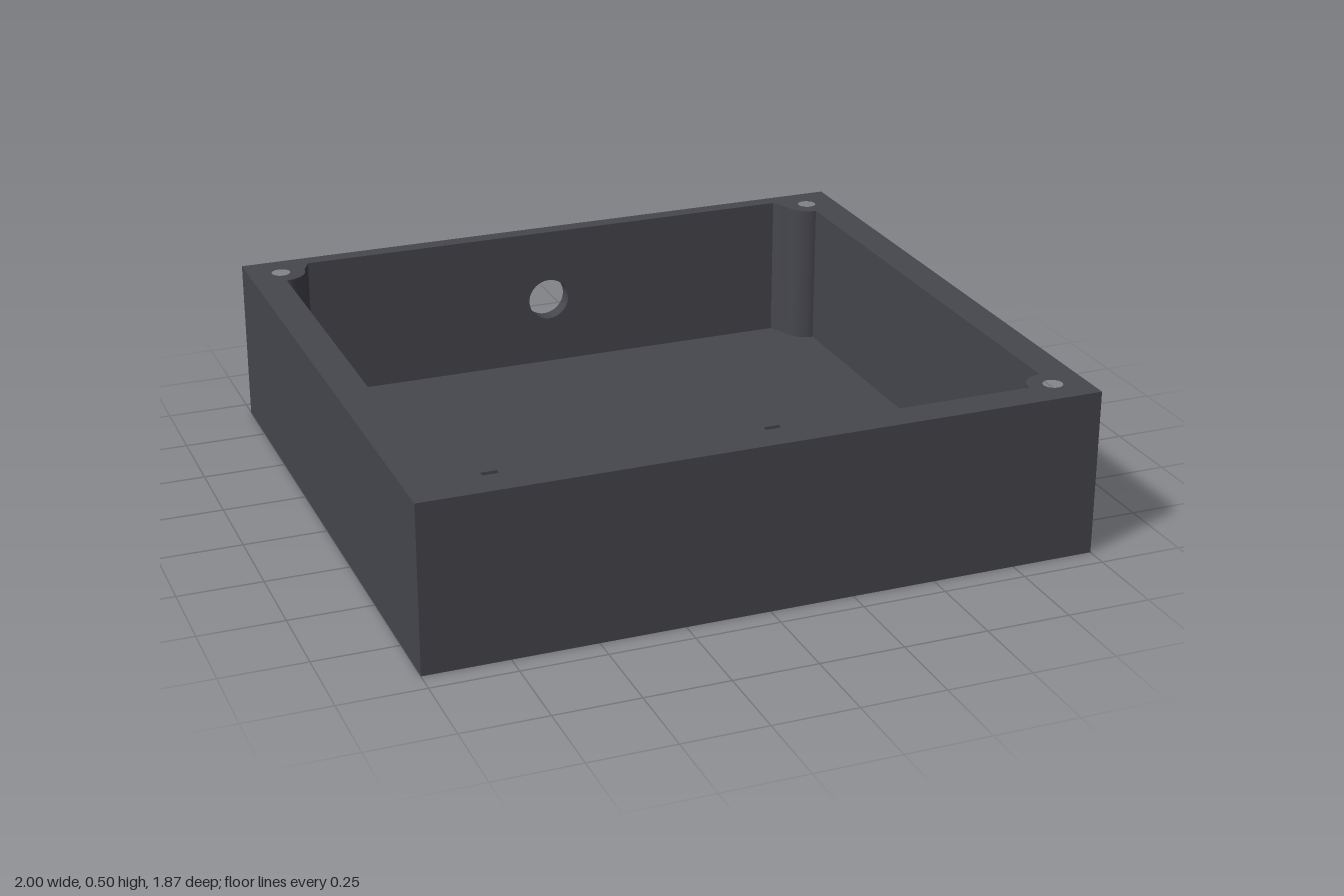
import * as THREE from 'three';
import { toCreasedNormals } from 'three/addons/utils/BufferGeometryUtils.js';

const W = 1, D = 0.933;           // half width and half depth
const T = 0.05, H = 0.5;          // wall thickness and height
const BOSS_X = 0.9, BOSS_Z = 0.833, BOSS_R = 0.075, SCREW_R = 0.029;
const GAP = 0.8;                  // half width of the drilled back panel

const circle = (x, y, r) => new THREE.Path().absarc(x, y, r, 0, Math.PI * 2, true);

function rect(PathType, x0, y0, x1, y1) {
  const p = new PathType();
  p.moveTo(x0, y0).lineTo(x1, y0).lineTo(x1, y1).lineTo(x0, y1).closePath();
  return p;
}

const extrude = (shape, depth) =>
  new THREE.ExtrudeGeometry(shape, { depth, bevelEnabled: false, curveSegments: 32 });

// Plan shapes have +y pointing to the back of the box
const extrudeUp = (shape, y, height) => extrude(shape, height).rotateX(-Math.PI / 2).translate(0, y, 0);

export function createModel() {
  const group = new THREE.Group();
  const plastic = new THREE.MeshStandardMaterial({ color: 0x46464e });
  plastic.name = 'darkGreyPlastic';

  const add = (name, geometry) => {
    const mesh = new THREE.Mesh(toCreasedNormals(geometry, 0.5), plastic);
    mesh.name = name;
    group.add(mesh);
  };

  // Corners in order: back left, front left, front right, back right in plan
  const corners = [[-1, 1], [-1, -1], [1, -1], [1, 1]].map(([x, y]) => [x * BOSS_X, y * BOSS_Z]);
  const screwHoles = () => corners.map(([x, y]) => circle(x, y, SCREW_R));

  // Floor with screw holes, mounting holes and strap slots
  const floor = rect(THREE.Shape, -W, -D, W, D);
  floor.holes.push(...screwHoles());
  for (const s of [-1, 1]) {
    floor.holes.push(circle(s * 0.3, 0, SCREW_R));
    floor.holes.push(rect(THREE.Path, s * 0.465 - 0.027, -0.119, s * 0.465 + 0.027, 0.119));
  }
  add('floor', extrudeUp(floor, 0, T));

  // Front and side walls joined to the round corner bosses
  const walls = new THREE.Shape();
  walls.moveTo(GAP, D).lineTo(W, D).lineTo(W, -D).lineTo(-W, -D).lineTo(-W, D);
  walls.lineTo(-GAP, D).lineTo(-GAP, D - T);
  const a = Math.asin((BOSS_X - W + 2 * T) / BOSS_R); // where a boss meets the wall
  corners.forEach(([x, y], k) => {
    const turn = k * Math.PI / 2;
    walls.absarc(x, y, BOSS_R, a + turn, -Math.PI / 2 - a + turn, true);
  });
  walls.lineTo(GAP, D - T).closePath();
  walls.holes.push(...screwHoles());
  add('wallsAndBosses', extrudeUp(walls, T, H - T));

  // Back panel with a cable hole
  const back = rect(THREE.Shape, -GAP, T, GAP, H);
  back.holes.push(circle(0, 0.267, 0.067));
  add('backPanel', extrude(back, T).translate(0, 0, -D));

  return group;
}
